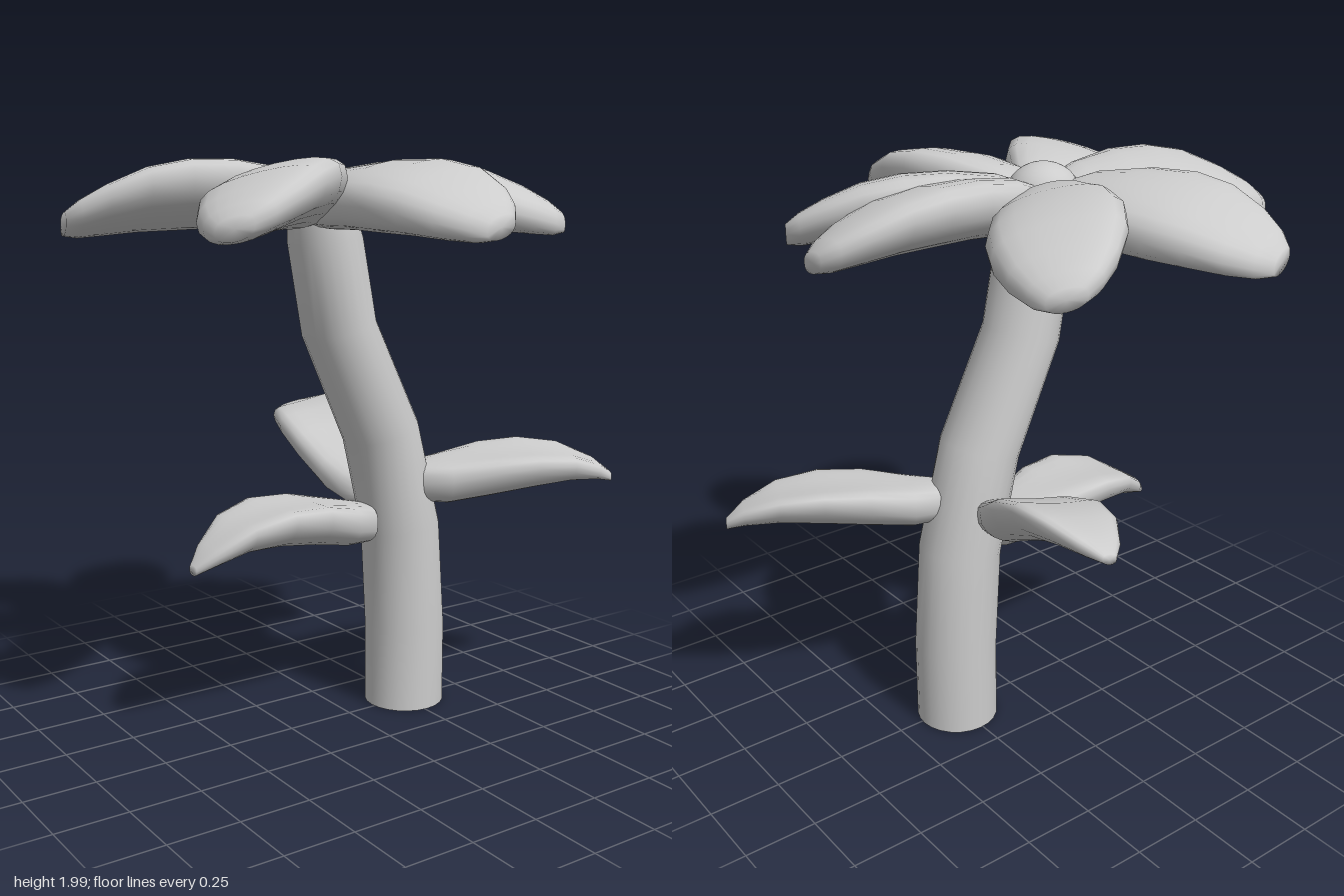
import * as THREE from 'three';

// Closed blade along +z. Stations: [z, centre y, half width, half thickness].
// trough lifts the side edges, roll tilts the blade sideways.
function bladeGeometry(stations, { trough = 0, roll = 0, sides = 20 }) {
  const pos = [], index = [];
  const maxW = Math.max(...stations.map(s => s[2]));
  for (const [z, y, w, h] of stations) {
    for (let j = 0; j < sides; j++) {
      const a = (j / sides) * Math.PI * 2, c = Math.cos(a), s = Math.sin(a);
      const x = w * c;
      pos.push(x, y + h * Math.sign(s) * Math.pow(Math.abs(s), 0.75) + trough * (x / maxW) ** 2 + roll * x, z);
    }
  }
  const n = stations.length;
  for (let i = 0; i < n - 1; i++) {
    for (let j = 0; j < sides; j++) {
      const a = i * sides + j, b = i * sides + (j + 1) % sides;
      index.push(a, b, b + sides, a, b + sides, a + sides);
    }
  }
  // End caps
  const first = pos.length / 3, last = first + 1;
  pos.push(0, stations[0][1], stations[0][0], 0, stations[n - 1][1], stations[n - 1][0]);
  for (let j = 0; j < sides; j++) {
    const k = (j + 1) % sides;
    index.push(first, k, j, last, (n - 1) * sides + j, (n - 1) * sides + k);
  }
  const g = new THREE.BufferGeometry();
  g.setAttribute('position', new THREE.Float32BufferAttribute(pos, 3));
  g.setIndex(index);
  g.computeVertexNormals();
  return g;
}

// Bent stem through oval rings [x, y, half width, half depth, slope], open at the bottom
function stemGeometry(rings, z, sides = 24) {
  const g = new THREE.CylinderGeometry(1, 1, 1, sides, rings.length - 1, true);
  const p = g.attributes.position;
  for (let i = 0; i < p.count; i++) {
    const [x, y, rx, rz, slope] = rings[rings.length - 1 - Math.floor(i / (sides + 1))];
    const px = p.getX(i) * rx;
    p.setXYZ(i, x + px, y + px * slope, z + p.getZ(i) * rz);
  }
  g.computeVertexNormals();
  // Merge the normals along the seam
  const nm = g.attributes.normal, v = new THREE.Vector3();
  for (let k = 0; k < rings.length; k++) {
    const a = k * (sides + 1), b = a + sides;
    v.set(nm.getX(a) + nm.getX(b), nm.getY(a) + nm.getY(b), nm.getZ(a) + nm.getZ(b)).normalize();
    nm.setXYZ(a, v.x, v.y, v.z);
    nm.setXYZ(b, v.x, v.y, v.z);
  }
  return g;
}

export function createModel() {
  const model = new THREE.Group();
  model.name = 'flower';
  const grey = new THREE.MeshStandardMaterial({ color: 0xcccccc, side: THREE.DoubleSide });
  grey.name = 'light grey';

  const add = (name, geometry, x, y, z, turn = 0) => {
    const mesh = new THREE.Mesh(geometry, grey);
    mesh.name = name;
    mesh.position.set(x, y, z);
    mesh.rotation.y = turn;
    model.add(mesh);
    return mesh;
  };

  // Stem
  add('stem', stemGeometry([
    [0.26, 0, 0.147, 0.147, 0], [0.26, 0.3, 0.147, 0.147, 0.03], [0.235, 0.68, 0.142, 0.147, 0.12],
    [0.145, 1.04, 0.13, 0.147, 0.3], [-0.035, 1.42, 0.122, 0.145, 0.28],
    [-0.09, 1.72, 0.126, 0.138, 0.1], [-0.11, 1.84, 0.11, 0.12, 0],
  ], -0.015), 0, 0, 0);

  // Flower centre
  const cx = -0.12, cz = -0.025;
  add('flowerCentre', new THREE.SphereGeometry(0.122, 24, 16), cx, 1.885, cz).scale.y = 0.85;

  // Petals, each aimed at its tip [x, z]
  const petal = bladeGeometry([
    [0.03, 1.84, 0.05, 0.05], [0.06, 1.845, 0.1, 0.075], [0.16, 1.86, 0.14, 0.095],
    [0.32, 1.87, 0.19, 0.1], [0.47, 1.865, 0.21, 0.1], [0.6, 1.85, 0.2, 0.09],
    [0.72, 1.82, 0.16, 0.072], [0.8, 1.795, 0.11, 0.055], [0.845, 1.78, 0.06, 0.035],
  ], { trough: 0.015, roll: 0.22 });
  const tips = [[-0.03, 0.82], [0.64, 0.39], [0.73, 0.03], [0.37, -0.74],
    [-0.4, -0.82], [-0.94, -0.22], [-0.75, 0.53]];
  tips.forEach(([x, z], i) => add(`petal${i + 1}`, petal, cx, 0, cz, Math.atan2(x - cx, z - cz)));

  // Leaves: base, tip and the heights of the centre line above the ground
  const leaves = [
    { name: 'rightLeaf', base: [0.11, -0.02], tip: [-0.63, 0], roll: 0, ys: [0.71, 0.71, 0.72, 0.745, 0.755, 0.74, 0.69, 0.65] },
    { name: 'leftLeaf', base: [0.24, 0.03], tip: [0.94, 0.35], roll: 0.1, ys: [0.85, 0.85, 0.85, 0.87, 0.885, 0.89, 0.87, 0.84] },
    { name: 'backLeaf', base: [0.15, -0.11], tip: [0.265, -0.83], roll: -0.2, ys: [0.81, 0.82, 0.85, 0.92, 0.975, 1.0, 1.0, 0.99] },
  ];
  const shape = [[0, 0.04, 0.045], [0.05, 0.09, 0.072], [0.18, 0.125, 0.08], [0.38, 0.16, 0.077],
    [0.58, 0.165, 0.068], [0.77, 0.135, 0.054], [0.92, 0.075, 0.036], [1, 0.025, 0.018]];
  for (const { name, base, tip, roll, ys } of leaves) {
    const dx = tip[0] - base[0], dz = tip[1] - base[1], len = Math.hypot(dx, dz);
    const stations = shape.map(([t, w, h], i) => [t * len, ys[i], w, h]);
    add(name, bladeGeometry(stations, { trough: 0.045, roll }), base[0], 0, base[1], Math.atan2(dx, dz));
  }
  return model;
}
